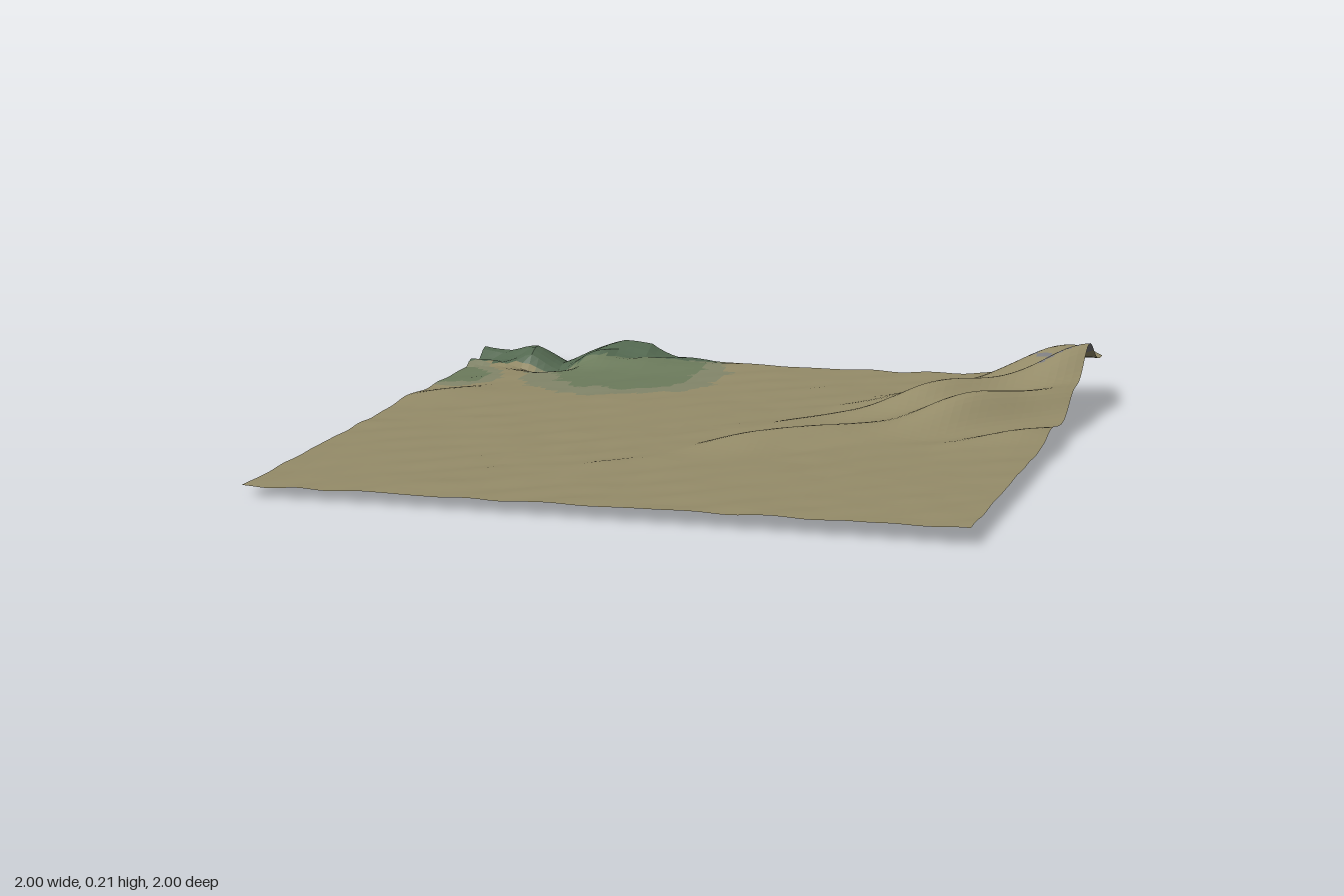
import * as THREE from 'three';

const N = 88; // cells per side
const bump = (d, w) => Math.exp(-(d * d) / (2 * w * w));
const smooth = THREE.MathUtils.smoothstep;

// repeatable lattice value in 0..1
function hash(i, j) {
  const s = Math.sin(i * 127.1 + j * 311.7) * 43758.5453;
  return s - Math.floor(s);
}

// angular noise: each lattice cell is two flat triangles
function facetNoise(x, z) {
  const i = Math.floor(x), j = Math.floor(z), a = x - i, b = z - j;
  const h00 = hash(i, j), h10 = hash(i + 1, j), h01 = hash(i, j + 1), h11 = hash(i + 1, j + 1);
  return a + b < 1
    ? h00 + a * (h10 - h00) + b * (h01 - h00)
    : h11 + (1 - a) * (h01 - h11) + (1 - b) * (h10 - h11);
}

// dune mounds: [x, z, height, length along crest, width across crest]
const MOUNDS = [
  [0.22, 0.14, 0.036, 0.16, 0.05],
  [0.42, 0.0, 0.022, 0.12, 0.05],
  [0.74, -0.27, 0.09, 0.17, 0.06],
  [1.0, -0.5, 0.045, 0.14, 0.06],
  [0.25, -0.1, 0.02, 0.16, 0.05],
  [0.62, -0.42, 0.09, 0.17, 0.06],
  [1.0, -0.75, 0.135, 0.19, 0.08],
  [0.56, -0.62, 0.025, 0.18, 0.06],
  [0.88, -0.96, 0.085, 0.15, 0.07],
  [0.95, -0.1, 0.03, 0.16, 0.05],
  [-0.9, -0.3, 0.016, 0.13, 0.05],
  [-0.15, 0.55, 0.007, 0.15, 0.05],
  [-0.55, 0.88, 0.007, 0.12, 0.05],
];

// back edge of the meadow where the rocks begin
const rockEdge = (x) => (x < -0.85 ? -0.84 - (x + 0.85) * 0.4 : x < -0.67 ? -0.845 : -0.85 - (x + 0.67) * 0.25);

function height(x, z) {
  const u = (x - z) * Math.SQRT1_2, v = (x + z) * Math.SQRT1_2;
  let y = 0.037 + 0.009 * x;
  // fine wind ripples along the diagonal
  y += 0.0022 * Math.sin(v * 42 + 1.5 * Math.sin(u * 5)) * Math.sin(u * 7 + 1) + 0.003 * (facetNoise(x * 14, z * 14) - 0.5);
  for (const [mx, mz, h, len, wid] of MOUNDS) {
    const du = u - (mx - mz) * Math.SQRT1_2, dv = v - (mx + mz) * Math.SQRT1_2;
    y += h * bump(du, len) * bump(dv, wid);
  }
  y += 0.03 * smooth(u, 0.7, 1.3) * bump(v - 0.05, 0.2);
  // meadow swells
  y += 0.028 * bump(x + 0.6, 0.06) * bump(z + 0.9, 0.08) + 0.026 * bump(x + 0.48, 0.09) * bump(z + 0.92, 0.08);
  y += 0.012 * bump(x + 0.3, 0.1) * bump(z + 0.95, 0.1);
  // jagged rocks and the hollow in front of them
  const depth = smooth(rockEdge(x) - z, -0.03, 0.03) * smooth(-x, 0.2, 0.55);
  y += depth * (0.075 * facetNoise(x * 11 + 3, z * 13) - 0.03);
  y += 0.03 * bump(x + 0.83, 0.05) * bump(z + 0.95, 0.05);
  y -= 0.034 * bump(x + 0.75, 0.07) * bump(z + 0.83, 0.04);
  return THREE.MathUtils.clamp(y, 0, 0.23);
}

// ground cover at a point
function cover(x, z) {
  const r = 0.1 * (facetNoise(x * 22, z * 22) - 0.5);
  if (z < rockEdge(x) && x < -0.24) return 'rocks';
  const right = Math.hypot((x + 0.47) / 0.3, (z + 0.78) / 0.34) + r * 2;
  const left = Math.hypot((x + 1.0) / 0.15, (z + 0.62) / 0.17) + r * 2;
  const g = Math.min(right, left);
  if (g < 0.75) return 'meadow';
  if (g < 1.08) return 'meadowFringe';
  const arc = Math.abs(Math.hypot(x - 0.86, z + 0.93) - 0.06) < 0.014 && x < 0.87;
  const streak = Math.abs(x + z - 0.19) < 0.045 && x > 0.87;
  return arc || streak ? 'slatePatches' : 'sand';
}

const COLORS = {
  sand: 0x958c69,
  meadowFringe: 0x83866a,
  meadow: 0x6c7b5c,
  rocks: 0x536850,
  slatePatches: 0x7d7d80,
};

export function createModel() {
  const group = new THREE.Group();
  group.name = 'terrain';
  const parts = {};
  for (const key of Object.keys(COLORS)) parts[key] = [];

  const point = (i, j) => {
    const x = -1 + (2 * i) / N, z = -1 + (2 * j) / N;
    return [x, height(x, z), z];
  };
  const addTriangle = (a, b, c) => {
    const key = cover((a[0] + b[0] + c[0]) / 3, (a[2] + b[2] + c[2]) / 3);
    parts[key].push(...a, ...b, ...c);
  };

  // sort each triangle of the height grid by its ground cover
  for (let i = 0; i < N; i++) {
    for (let j = 0; j < N; j++) {
      const a = point(i, j), b = point(i, j + 1), c = point(i + 1, j + 1), d = point(i + 1, j);
      addTriangle(a, b, d);
      addTriangle(b, c, d);
    }
  }

  for (const [name, positions] of Object.entries(parts)) {
    if (!positions.length) continue;
    const geometry = new THREE.BufferGeometry();
    geometry.setAttribute('position', new THREE.Float32BufferAttribute(positions, 3));
    geometry.computeVertexNormals();
    const material = new THREE.MeshStandardMaterial({ color: COLORS[name], flatShading: true, side: THREE.DoubleSide });
    const mesh = new THREE.Mesh(geometry, material);
    mesh.name = name;
    group.add(mesh);
  }
  return group;
}
